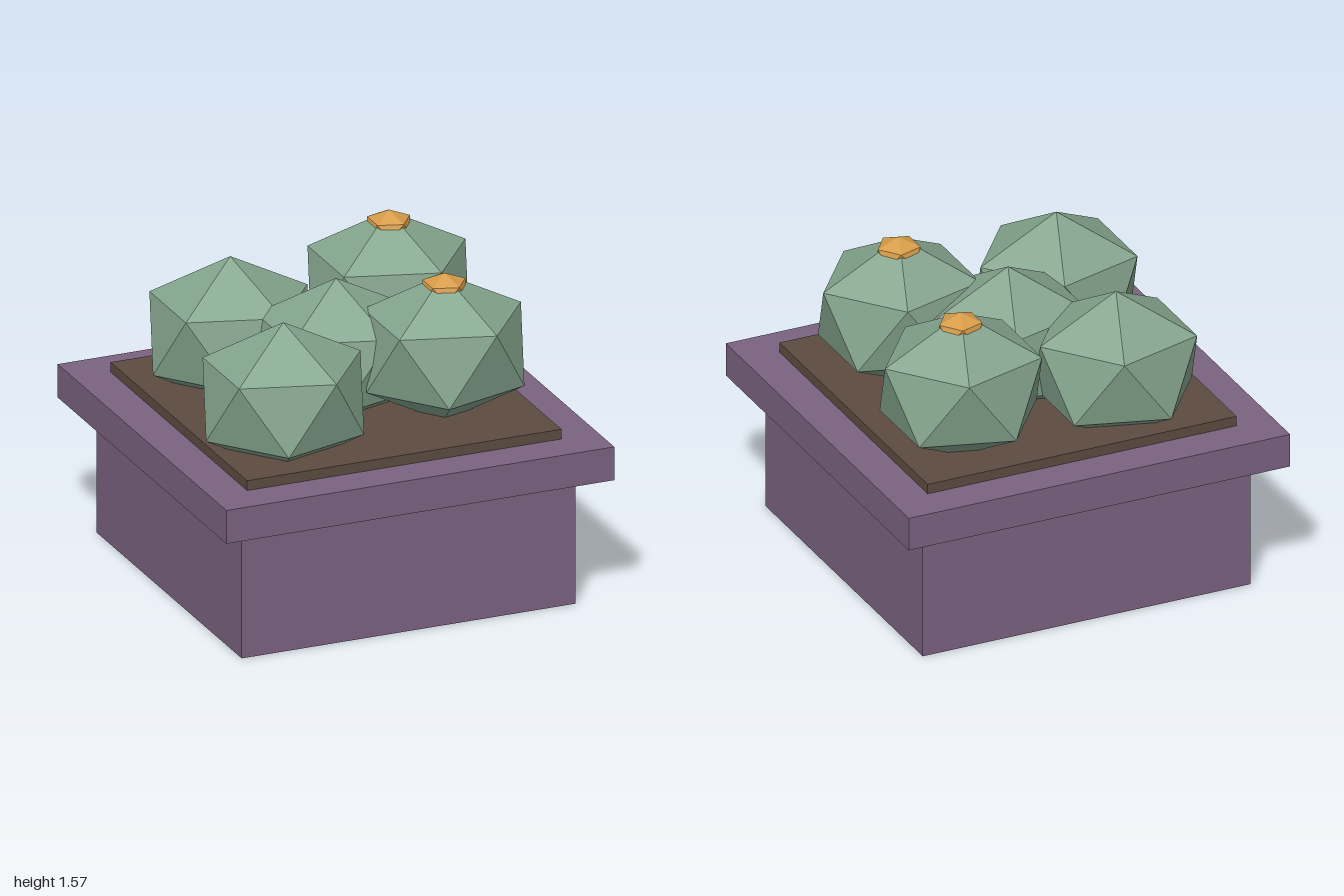
import * as THREE from 'three';

const material = (name, color) => {
  const m = new THREE.MeshStandardMaterial({ color, flatShading: true });
  m.name = name;
  return m;
};

// Icosahedron standing on a corner, with one upper corner pointing to +x
function uprightIcosahedron(rx, ry, rz) {
  const golden = (1 + Math.sqrt(5)) / 2;
  return new THREE.IcosahedronGeometry(1, 0)
    .rotateZ(-Math.atan(1 / golden))
    .scale(rx, ry, rz);
}

export function createModel() {
  const group = new THREE.Group();
  group.name = 'cactusPlanter';

  const purple = material('purple clay', 0x7a6280);
  const brown = material('brown soil', 0x5c4b40);
  const green = material('cactus green', 0x84a48d);
  const orange = material('flower orange', 0xd69c49);

  const add = (name, geometry, mat, x, y, z) => {
    const mesh = new THREE.Mesh(geometry, mat);
    mesh.name = name;
    mesh.position.set(x, y, z);
    group.add(mesh);
  };

  // Square pot: body, rim and soil, stacked as [name, width, bottom, top, material]
  for (const [name, width, bottom, top, mat] of [
    ['potBody', 1.72, 0, 0.66, purple],
    ['potRim', 2, 0.66, 0.83, purple],
    ['soil', 1.62, 0.83, 0.88, brown],
  ]) {
    add(name, new THREE.BoxGeometry(width, top - bottom, width), mat, 0, (bottom + top) / 2, 0);
  }

  // Cacti as [name, x, y, z, has a flower]
  const cactus = uprightIcosahedron(0.445, 0.376, 0.412);
  const flower = uprightIcosahedron(0.12, 0.08, 0.118);
  for (const [name, x, y, z, blooming] of [
    ['FrontLeft', 0.405, 1.19, 0.345, true],
    ['BackLeft', 0.48, 1.19, -0.485, true],
    ['Centre', 0, 1.105, 0, false],
    ['FrontRight', -0.45, 1.105, 0.41, false],
    ['BackRight', -0.35, 1.105, -0.45, false],
  ]) {
    add('cactus' + name, cactus, green, x, y, z);
    if (blooming) add('flower' + name, flower, orange, x + 0.004, y + 0.3, z);
  }

  return group;
}
